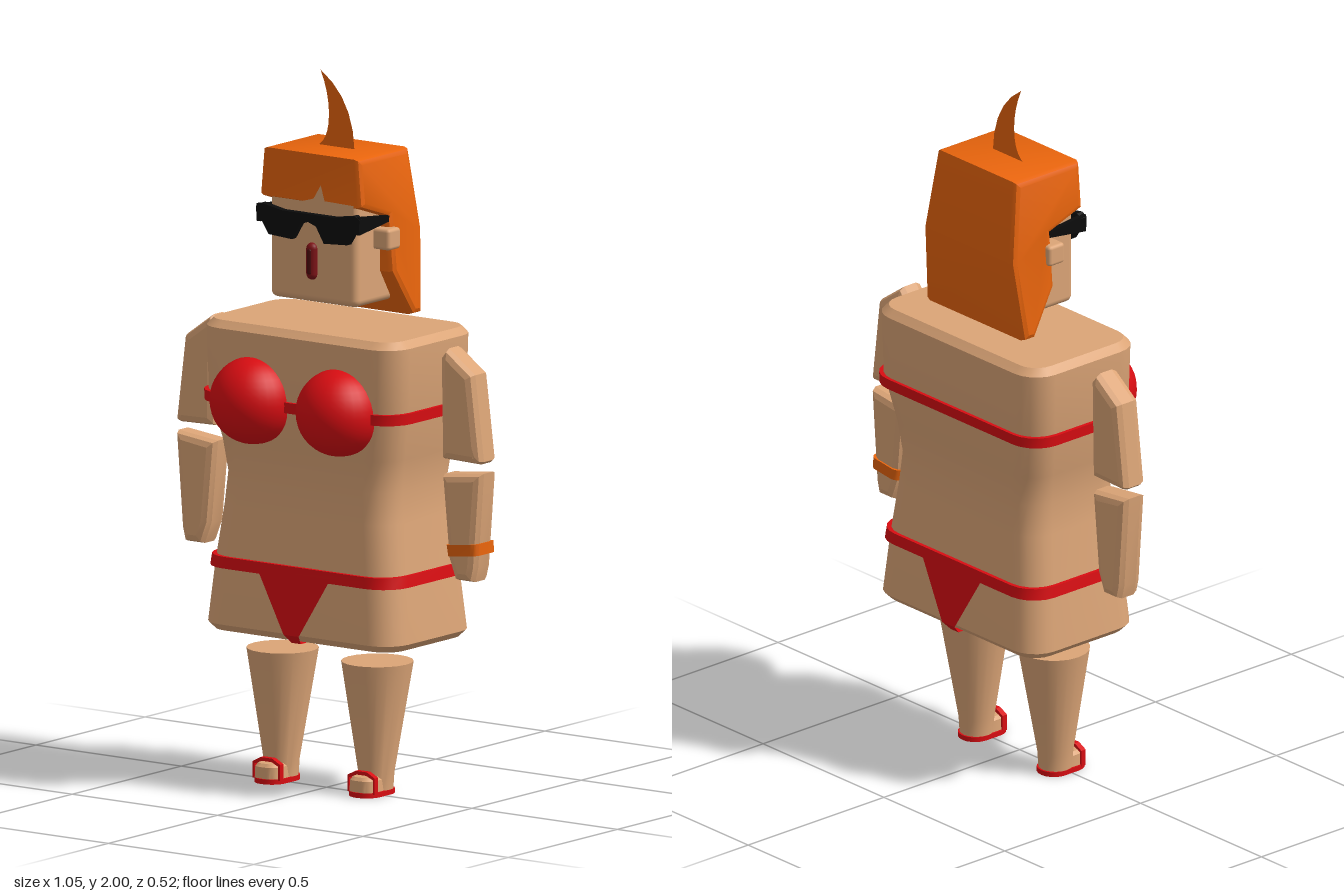
import * as THREE from 'three';
import { toCreasedNormals } from 'three/addons/utils/BufferGeometryUtils.js';
import { RoundedBoxGeometry } from 'three/addons/geometries/RoundedBoxGeometry.js';

const mat = (color) => new THREE.MeshStandardMaterial({ color, side: THREE.DoubleSide });
const skin = mat(0xdca577), red = mat(0xd90d12), orange = mat(0xe8640c);
const black = mat(0x0c0c0c), darkRed = mat(0x7d1216);

function add(parent, name, geometry, material, x = 0, y = 0, z = 0) {
  const mesh = new THREE.Mesh(geometry, material);
  mesh.name = name;
  mesh.position.set(x, y, z);
  parent.add(mesh);
  return mesh;
}

// Stack of rounded rectangles; each ring is [y, halfX, halfZ, cornerRadius, centreZ]
function loft(rings, crease = 0.5) {
  const steps = 5, n = 4 * (steps + 1), pos = [], idx = [];
  for (const [y, hx, hz, r, cz = 0] of rings) {
    for (let c = 0; c < 4; c++) {
      const sx = c === 0 || c === 3 ? 1 : -1, sz = c < 2 ? 1 : -1;
      for (let s = 0; s <= steps; s++) {
        const a = (c + s / steps) * Math.PI / 2;
        pos.push(sx * (hx - r) + r * Math.cos(a), y, cz + sz * (hz - r) + r * Math.sin(a));
      }
    }
  }
  const last = rings.length - 1, bottom = n * rings.length, top = bottom + 1;
  pos.push(0, rings[0][0], rings[0][4] || 0, 0, rings[last][0], rings[last][4] || 0);
  for (let k = 0; k < n; k++) {
    const k1 = (k + 1) % n;
    for (let i = 0; i < last; i++) {
      const a = i * n + k, b = i * n + k1, c = a + n, d = b + n;
      idx.push(a, c, b, b, c, d);
    }
    idx.push(bottom, k, k1, top, last * n + k1, last * n + k);
  }
  const g = new THREE.BufferGeometry();
  g.setAttribute('position', new THREE.Float32BufferAttribute(pos, 3));
  g.setIndex(idx);
  return toCreasedNormals(g, crease);
}

const outline = (pts) => new THREE.Shape(pts.map(([x, y]) => new THREE.Vector2(x, y)));

// Outline in x,y extruded symmetrically about z = 0, with an optional inward bevel
function slab(pts, depth, bevel = 0) {
  const g = new THREE.ExtrudeGeometry(outline(pts), {
    depth: depth - 2 * bevel, bevelEnabled: bevel > 0, bevelSize: bevel,
    bevelThickness: bevel, bevelOffset: -bevel, bevelSegments: 2,
  });
  return g.translate(0, 0, bevel - depth / 2);
}

// Outline given in z,y extruded along x
const sideSlab = (pts, width, bevel) =>
  slab(pts.map(([z, y]) => [-z, y]), width, bevel).rotateY(Math.PI / 2);

function buildTorso(group) {
  const cz = -0.05;
  add(group, 'torso', loft([
    [0.43, 0.315, 0.18, 0.06, cz], [0.45, 0.335, 0.2, 0.08, cz], [0.62, 0.318, 0.188, 0.08, cz],
    [0.78, 0.298, 0.173, 0.08, cz], [0.87, 0.29, 0.167, 0.08, cz], [0.96, 0.303, 0.175, 0.08, cz],
    [1.1, 0.335, 0.197, 0.08, cz], [1.28, 0.34, 0.2, 0.08, cz], [1.3, 0.32, 0.18, 0.06, cz],
  ]), skin);
  add(group, 'chestStrap', loft([[1.07, 0.345, 0.206, 0.085, cz], [1.1, 0.346, 0.207, 0.085, cz]]), red);
  add(group, 'waistband', loft([[0.608, 0.33, 0.2, 0.085, cz], [0.64, 0.326, 0.197, 0.085, cz]]), red);
  for (const s of [1, -1])
    add(group, 'bikiniCup', new THREE.SphereGeometry(0.122, 32, 20), red, s * 0.148, 1.09, 0.137);

  // Bikini bottom: one ribbon down the front, under and up the back; [y, z, halfWidth]
  const path = [[0.62, 0.15, 0.125], [0.45, 0.163, 0.026], [0.425, 0.14, 0.016],
    [0.425, -0.24, 0.016], [0.45, -0.263, 0.026], [0.62, -0.25, 0.125]];
  const pos = [], idx = [];
  path.forEach(([y, z, w], i) => {
    pos.push(-w, y, z, w, y, z);
    if (i) {
      const a = 2 * i - 2;
      idx.push(a, a + 2, a + 1, a + 1, a + 2, a + 3);
    }
  });
  const g = new THREE.BufferGeometry();
  g.setAttribute('position', new THREE.Float32BufferAttribute(pos, 3));
  g.setIndex(idx);
  add(group, 'bikiniBottom', toCreasedNormals(g, 0.3), red);
}

function buildHead(group) {
  const head = new THREE.Group();
  head.name = 'head';
  head.position.x = 0.004;
  group.add(head);
  add(head, 'face', new RoundedBoxGeometry(0.3, 0.36, 0.2, 3, 0.02), skin, 0, 1.55, -0.03);
  for (const s of [1, -1])
    add(head, 'ear', new RoundedBoxGeometry(0.07, 0.06, 0.058, 2, 0.01), skin, s * 0.168, 1.555, -0.038);

  // Hair block, flaring outwards towards its lower edge
  const hair = sideSlab([[0.08, 1.655], [0.08, 1.79], [-0.155, 1.79], [-0.187, 1.56], [-0.16, 1.33],
    [-0.12, 1.33], [-0.04, 1.46], [-0.04, 1.615]], 0.33, 0.016);
  const p = hair.attributes.position;
  for (let i = 0; i < p.count; i++) p.setX(i, p.getX(i) * (1 + 0.26 * (1.79 - p.getY(i)) / 0.46));
  add(head, 'hair', toCreasedNormals(hair, 0.45), orange);
  add(head, 'fringeGap', new THREE.ShapeGeometry(outline(
    [[-0.08, 1.63], [0.15, 1.63], [0.15, 1.66], [0.05, 1.662], [0.037, 1.705], [0.012, 1.665], [-0.04, 1.65]])),
    skin, 0, 0, 0.0815);

  // Flat curved tuft on the crown
  const tuft = new THREE.Shape();
  tuft.moveTo(-0.07, 1.785);
  tuft.quadraticCurveTo(-0.035, 1.80, -0.028, 1.85);
  tuft.quadraticCurveTo(-0.018, 1.92, -0.055, 2.0);
  tuft.quadraticCurveTo(0.058, 1.93, 0.062, 1.785);
  add(head, 'tuft', new THREE.ShapeGeometry(tuft, 5), orange, 0, 0, -0.04);

  // Sunglasses: mirrored half outline plus tapering temples
  const half = [[0.0, 1.622], [0.09, 1.622], [0.16, 1.635], [0.178, 1.625], [0.176, 1.592],
    [0.158, 1.585], [0.135, 1.55], [0.055, 1.545], [0.028, 1.59], [0.0, 1.6]];
  const mirrored = half.slice(1, -1).reverse().map(([x, y]) => [-x, y]);
  add(head, 'sunglasses', slab([...half, ...mirrored], 0.02), black, 0, 0, 0.082);
  for (const s of [1, -1])
    add(head, 'temple', sideSlab([[0.09, 1.632], [0.09, 1.582], [-0.06, 1.602], [-0.06, 1.616]], 0.014),
      black, s * 0.17);

  // Mouth: lips with a darker slit
  const lips = add(head, 'lips', new THREE.CapsuleGeometry(0.017, 0.07, 6, 12), darkRed, 0, 1.487, 0.071);
  const slit = add(head, 'mouthSlit', new THREE.CapsuleGeometry(0.008, 0.06, 4, 10), mat(0x4a0a0c), 0, 1.487, 0.082);
  lips.scale.z = slit.scale.z = 0.95;
}

function buildArm(group, s) {
  const arm = new THREE.Group();
  arm.name = s > 0 ? 'leftArm' : 'rightArm';
  arm.position.z = -0.043;
  group.add(arm);
  const piece = (pts) => toCreasedNormals(slab(pts.map(([x, y]) => [s * x, y]), 0.086, 0.022), 0.3);
  add(arm, 'upperArm', piece([[0.385, 1.25], [0.405, 1.275], [0.495, 1.21], [0.525, 0.97], [0.515, 0.962],
    [0.39, 0.965]]), skin);
  add(arm, 'forearm', piece([[0.39, 0.922], [0.525, 0.937], [0.505, 0.67], [0.495, 0.63], [0.435, 0.63],
    [0.412, 0.69]]), skin);
  if (s > 0) {
    const bracelet = add(arm, 'bracelet', loft([[-0.016, 0.054, 0.048, 0.022], [0.016, 0.056, 0.048, 0.022]]),
      orange, 0.463, 0.718, 0);
    bracelet.rotation.z = 0.12;
  }
}

function buildLeg(group, s) {
  const leg = new THREE.Group();
  leg.name = s > 0 ? 'leftLeg' : 'rightLeg';
  leg.position.x = s * 0.163 - 0.007;
  group.add(leg);
  // Calf tapers to the ankle and leans slightly forward
  add(leg, 'calf', loft([[0.014, 0.047, 0.047, 0.047, -0.02], [0.06, 0.05, 0.05, 0.05, -0.02],
    [0.37, 0.1, 0.1, 0.1, -0.025]]), skin);
  add(leg, 'foot', loft([[0.014, 0.042, 0.045, 0.03, 0.022], [0.046, 0.04, 0.045, 0.03, 0.022],
    [0.055, 0.032, 0.037, 0.024, 0.022]]), skin);
  add(leg, 'sandalSole', loft([[0, 0.047, 0.072, 0.045, 0], [0.014, 0.047, 0.072, 0.045, 0]]), red);
  add(leg, 'sandalStrap', slab([[-0.047, 0.01], [-0.047, 0.056], [-0.02, 0.07], [0.02, 0.07], [0.047, 0.056],
    [0.047, 0.01], [0.041, 0.01], [0.041, 0.05], [0.018, 0.06], [-0.018, 0.06], [-0.041, 0.05],
    [-0.041, 0.01]], 0.016), red, 0, 0, 0.042);
}

export function createModel() {
  const group = new THREE.Group();
  group.name = 'figure';
  buildTorso(group);
  buildHead(group);
  for (const s of [1, -1]) {
    buildArm(group, s);
    buildLeg(group, s);
  }
  return group;
}
